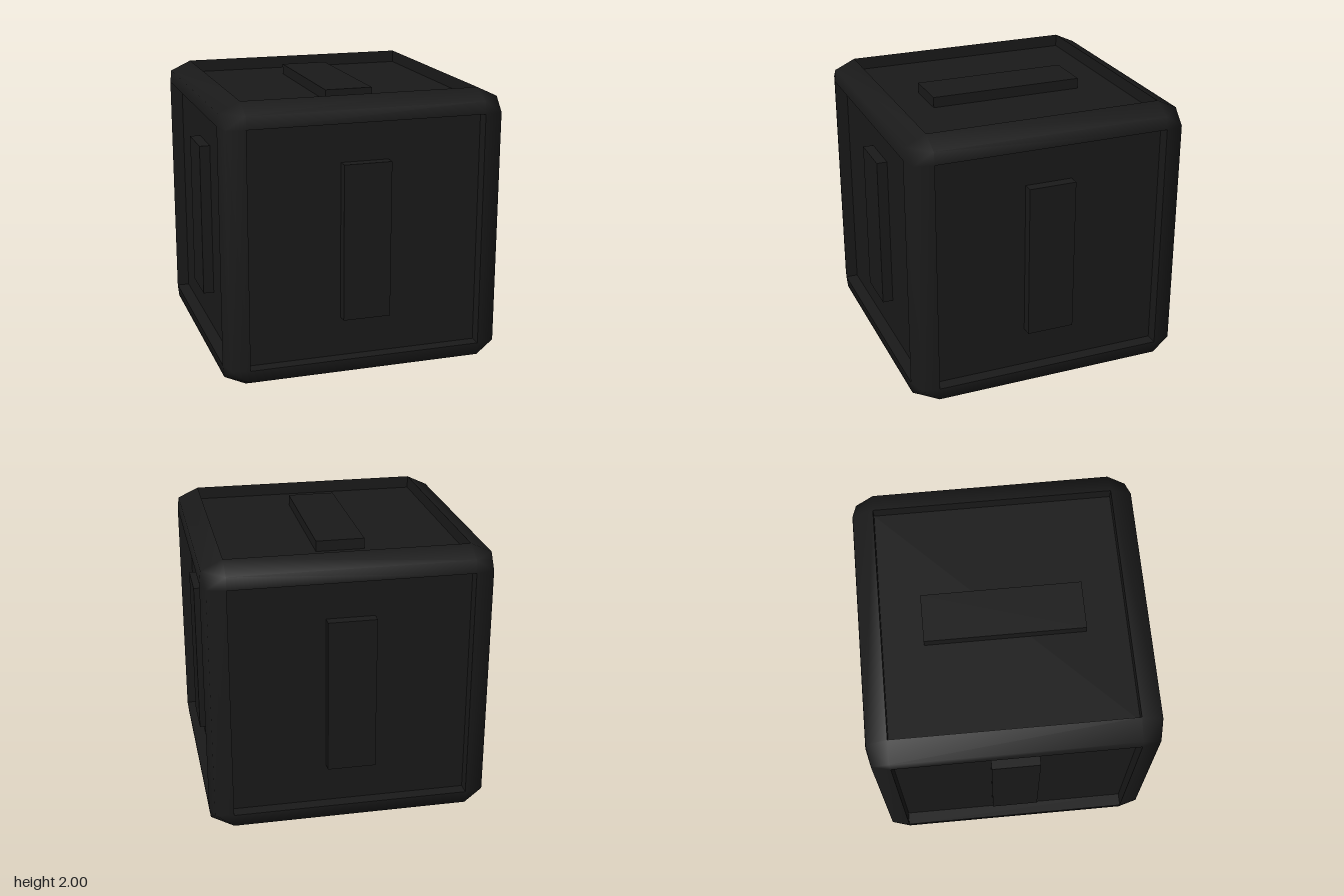
import * as THREE from 'three';
import { mergeVertices } from 'three/addons/utils/BufferGeometryUtils.js';

const OPEN = 0.84;   // half width of each recessed opening
const FLOOR = 0.91;  // distance from the centre to a recessed panel
const BAR_TOP = 0.985;

// Rounded edges and corners of the cube, open on all six faces
function createShell() {
  const o = OPEN;
  // Points of one corner: on the front, side and top faces, and between them
  const corner = {
    front: [o, o, 1], side: [1, o, o], top: [o, 1, o],
    frontSide: [0.97, o, 0.97], frontTop: [o, 0.93, 0.99], sideTop: [0.99, 0.93, o],
  };
  const at = (name, s) => new THREE.Vector3(...corner[name].map((v, i) => v * s[i]));
  const positions = [];
  // Add a triangle, turned so that it faces away from the centre
  const addTriangle = (a, b, c) => {
    const normal = b.clone().sub(a).cross(c.clone().sub(a));
    const order = normal.dot(a.clone().add(b).add(c)) > 0 ? [a, b, c] : [a, c, b];
    order.forEach((p) => positions.push(p.x, p.y, p.z));
  };

  // Edge strips along x, y and z, each in two bands
  const profiles = [
    ['front', 'frontTop', 'top'],
    ['front', 'frontSide', 'side'],
    ['side', 'sideTop', 'top'],
  ];
  profiles.forEach((profile, axis) => {
    for (const p of [-1, 1]) for (const q of [-1, 1]) {
      const start = [p, q];
      start.splice(axis, 0, -1);
      const end = [p, q];
      end.splice(axis, 0, 1);
      for (let i = 0; i < 2; i++) {
        const a = at(profile[i], start), b = at(profile[i + 1], start);
        const c = at(profile[i + 1], end), d = at(profile[i], end);
        addTriangle(a, b, c);
        addTriangle(a, c, d);
      }
    }
  });

  // Corner caps
  const caps = [
    ['front', 'frontSide', 'frontTop'],
    ['side', 'frontSide', 'sideTop'],
    ['top', 'frontTop', 'sideTop'],
    ['frontSide', 'sideTop', 'frontTop'],
  ];
  for (const x of [-1, 1]) for (const y of [-1, 1]) for (const z of [-1, 1]) {
    caps.forEach((cap) => addTriangle(...cap.map((name) => at(name, [x, y, z]))));
  }

  const geometry = new THREE.BufferGeometry();
  geometry.setAttribute('position', new THREE.Float32BufferAttribute(positions, 3));
  const smooth = mergeVertices(geometry);
  smooth.computeVertexNormals();
  return smooth;
}

// One recessed face looking along +z: floor, four walls and a raised bar
function createFace(material) {
  const face = new THREE.Group();
  const add = (name, geometry) => {
    const mesh = new THREE.Mesh(geometry, material);
    mesh.name = name;
    face.add(mesh);
  };
  add('recessedPanel', new THREE.PlaneGeometry(OPEN * 2, OPEN * 2).translate(0, 0, FLOOR));
  const depth = 1 - FLOOR;
  for (let i = 0; i < 4; i++) {
    add('recessWall', new THREE.PlaneGeometry(OPEN * 2, depth)
      .rotateX(Math.PI / 2)
      .translate(0, OPEN, FLOOR + depth / 2)
      .rotateZ(i * Math.PI / 2));
  }
  const height = BAR_TOP - FLOOR;
  add('raisedBar', new THREE.BoxGeometry(0.34, 1.11, height).translate(0, 0, FLOOR + height / 2));
  return face;
}

export function createModel() {
  const model = new THREE.Group();
  model.name = 'panelledCube';
  const material = new THREE.MeshStandardMaterial({ color: 0x1a1a1a });

  const shell = new THREE.Mesh(createShell(), material);
  shell.name = 'roundedFrame';
  model.add(shell);

  const quarter = Math.PI / 2;
  const faces = {
    frontFace: [0, 0], leftFace: [0, quarter], backFace: [0, Math.PI],
    rightFace: [0, -quarter], topFace: [-quarter, 0], bottomFace: [quarter, 0],
  };
  for (const [name, [rx, ry]] of Object.entries(faces)) {
    const face = createFace(material);
    face.name = name;
    face.rotation.set(rx, ry, 0);
    model.add(face);
  }

  // Stand the cube on the ground
  model.children.forEach((part) => { part.position.y = 1; });
  return model;
}
